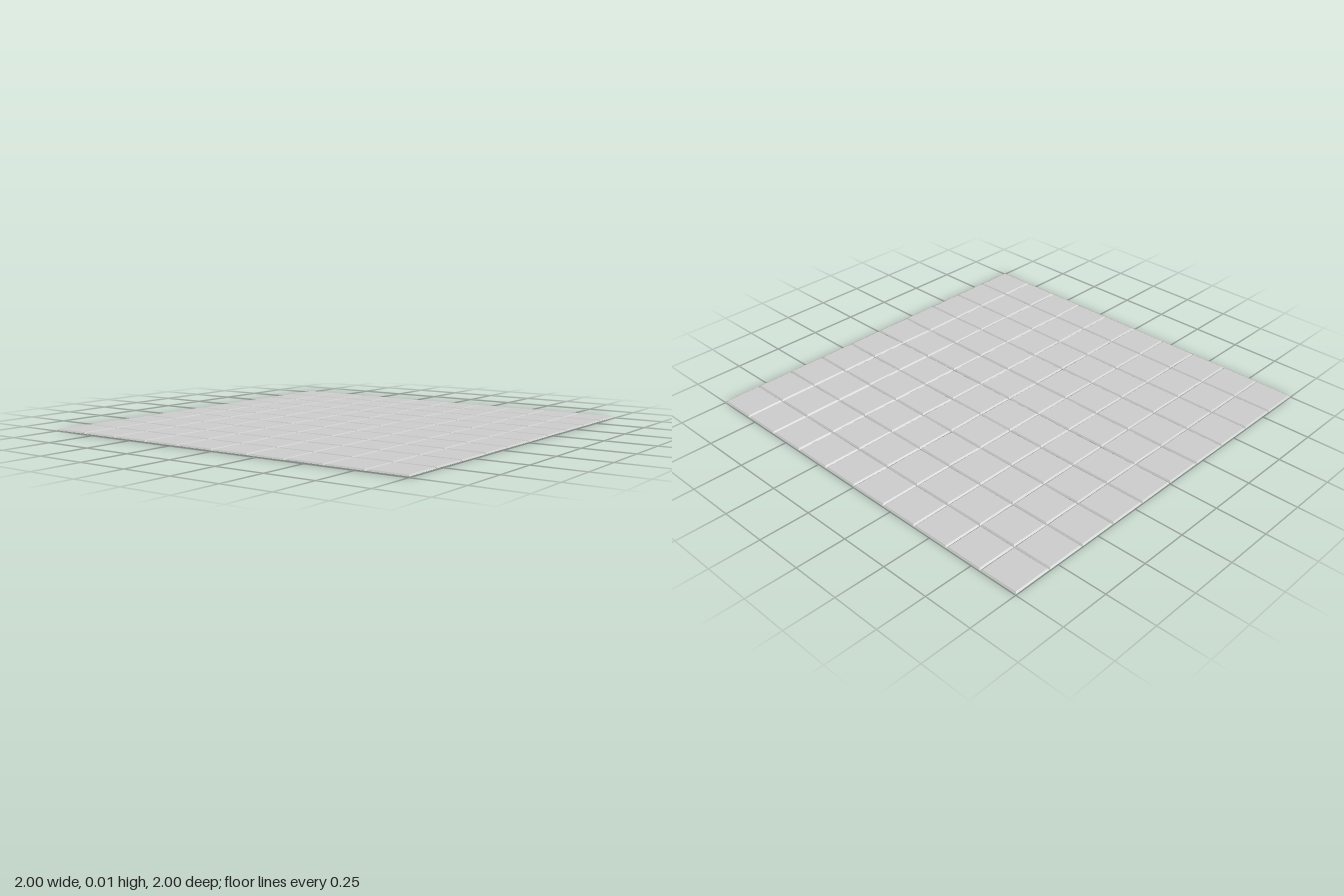
import * as THREE from 'three';

const COUNT = 10, PITCH = 0.2, WIDTH = 0.1985, HEIGHT = 0.009;

// Small seeded generator, returns -1..1
function makeJitter(seed) {
  return () => {
    seed = (seed * 16807) % 2147483647;
    return (seed / 2147483647) * 2 - 1;
  };
}

// Square slab whose sides slope inward to a smaller top and underside
function tileGeometry() {
  const geometry = new THREE.BoxGeometry(WIDTH, HEIGHT, WIDTH, 1, 2, 1);
  const p = geometry.attributes.position;
  for (let i = 0; i < p.count; i++) {
    const y = p.getY(i);
    const inset = y > 0.001 ? 0.007 : y < -0.001 ? 0.004 : 0;
    const k = 1 - (2 * inset) / WIDTH;
    p.setX(i, p.getX(i) * k);
    p.setZ(i, p.getZ(i) * k);
    if (inset === 0) p.setY(i, -HEIGHT * 0.2);
  }
  geometry.computeVertexNormals();
  return geometry;
}

export function createModel() {
  const floor = new THREE.Group();
  floor.name = 'tiledFloor';
  const material = new THREE.MeshStandardMaterial({ color: 0xcccccc, flatShading: true });
  const geometry = tileGeometry();
  const jitter = makeJitter(4711);

  // Grid of paving tiles, each slightly tilted and turned
  for (let row = 0; row < COUNT; row++) {
    for (let col = 0; col < COUNT; col++) {
      const tile = new THREE.Mesh(geometry, material);
      tile.name = `tile_${row}_${col}`;
      tile.position.set(
        (col - (COUNT - 1) / 2) * PITCH,
        HEIGHT / 2 + 0.001,
        (row - (COUNT - 1) / 2) * PITCH
      );
      tile.rotation.set(jitter() * 0.006, jitter() * 0.008, jitter() * 0.006);
      floor.add(tile);
    }
  }
  return floor;
}
